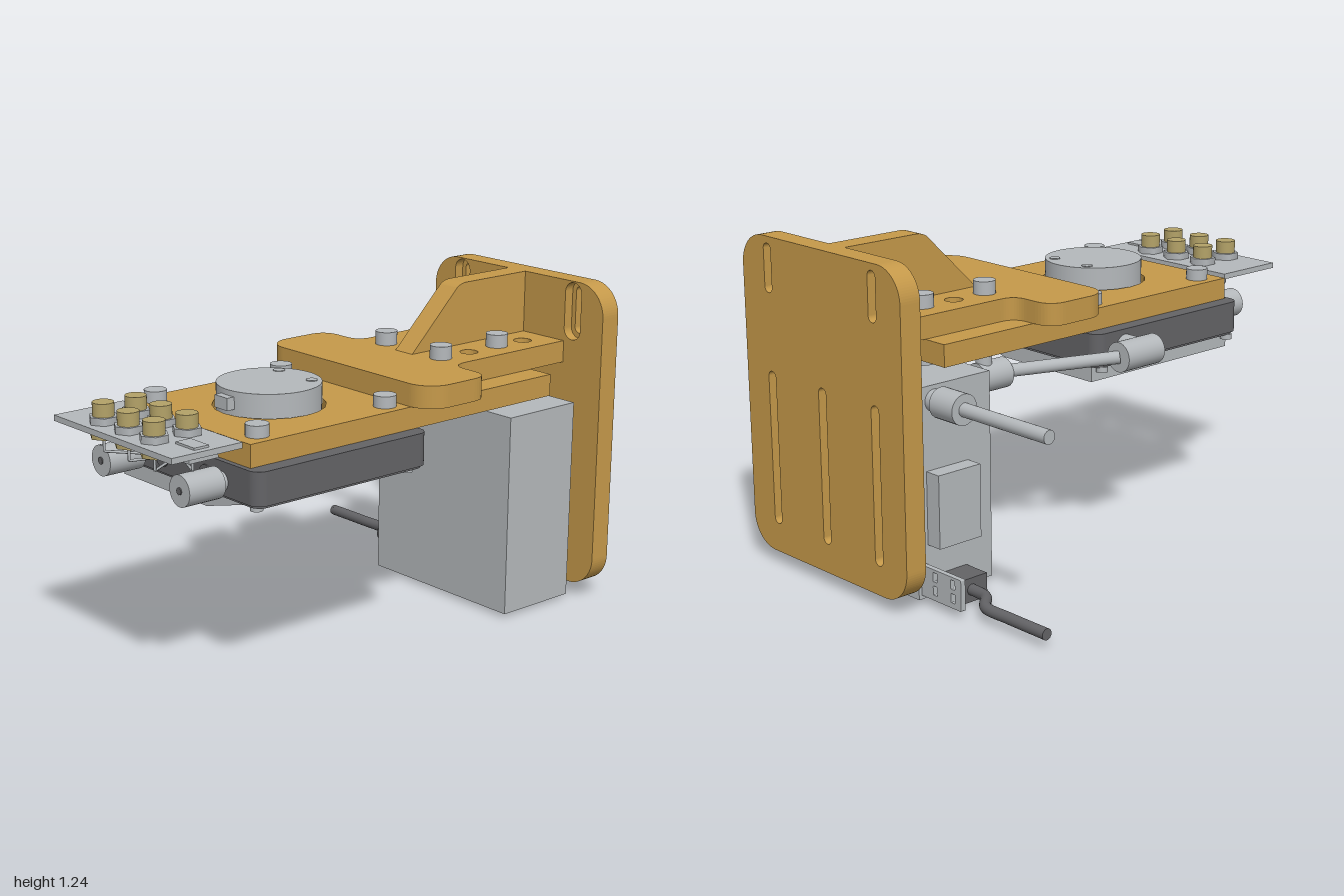
import * as THREE from 'three';

const CX = 0.245; // symmetry line of the bracket

function material(name, color) {
  const m = new THREE.MeshStandardMaterial({ color });
  m.name = name;
  return m;
}

// rounded rectangle, used both as outline and (as a narrow slot) as a hole
function roundRect(x0, y0, x1, y1, r, Type = THREE.Shape) {
  const s = new Type();
  s.moveTo(x0 + r, y0);
  s.lineTo(x1 - r, y0);
  s.absarc(x1 - r, y0 + r, r, -Math.PI / 2, 0);
  s.lineTo(x1, y1 - r);
  s.absarc(x1 - r, y1 - r, r, 0, Math.PI / 2);
  s.lineTo(x0 + r, y1);
  s.absarc(x0 + r, y1 - r, r, Math.PI / 2, Math.PI);
  s.lineTo(x0, y0 + r);
  s.absarc(x0 + r, y0 + r, r, Math.PI, Math.PI * 1.5);
  return s;
}
const slot = (x, y0, y1, r) => roundRect(x - r, y0, x + r, y1, r * 0.999, THREE.Path);
function hole(x, z, r) {
  const p = new THREE.Path();
  p.absarc(x, -z, r, 0, Math.PI * 2);
  return p;
}

export function createModel() {
  const model = new THREE.Group();
  model.name = 'sensorMount';
  const orange = material('orange bracket', 0xc5994a);
  const grey = material('light grey metal', 0xb4b8bb);
  const dark = material('dark grey housing', 0x636366);
  const gold = material('brass', 0xb3a268);
  const green = material('green board', 0x2b6140);

  const add = (name, geo, mat) => {
    const m = new THREE.Mesh(geo, mat);
    m.name = name;
    model.add(m);
    return m;
  };
  // box given by its two corners
  const box = (name, mat, x0, y0, z0, x1, y1, z1) =>
    add(name, new THREE.BoxGeometry(x1 - x0, y1 - y0, z1 - z0)
      .translate((x0 + x1) / 2, (y0 + y1) / 2, (z0 + z1) / 2), mat);
  // cylinder between two points
  const rod = (name, mat, a, b, r, sides = 28) => {
    const p = new THREE.Vector3(...a), q = new THREE.Vector3(...b);
    const m = add(name, new THREE.CylinderGeometry(r, r, p.distanceTo(q), sides), mat);
    m.position.copy(p).add(q).multiplyScalar(0.5);
    m.quaternion.setFromUnitVectors(new THREE.Vector3(0, 1, 0), q.sub(p).normalize());
    return m;
  };
  const extrude = (shape, depth) =>
    new THREE.ExtrudeGeometry(shape, { depth, bevelEnabled: false, curveSegments: 10 });
  // plan outline (x, -z) raised from y0 to y1
  const slab = (name, mat, shape, y0, y1) =>
    add(name, extrude(shape, y1 - y0).rotateX(-Math.PI / 2).translate(0, y0, 0), mat);

  // back plate: two layers so the upper slots are countersunk from the front
  [[-1, -0.955, 0.021, 0.02], [-0.955, -0.915, 0.04, 0]].forEach(([z0, z1, r, inset]) => {
    const s = roundRect(-0.2, 0.05, 0.69, 1.235, 0.12);
    for (const x of [-0.05, 0.54]) s.holes.push(slot(x, 1.01 + inset, 1.23 - inset, r));
    for (const x of [-0.05, CX, 0.54]) s.holes.push(slot(x, 0.16, 0.74, 0.021));
    add('backPlate', extrude(s, z1 - z0).translate(0, 0, z0), orange);
  });

  // upper arm: narrow neck flaring into a wide rounded head
  const boltX = [0.1, 0.395];
  const arm = new THREE.Shape();
  arm.moveTo(-0.01, 0.92);
  arm.lineTo(-0.01, 0.39);
  arm.quadraticCurveTo(-0.01, 0.325, -0.075, 0.325);
  arm.lineTo(-0.12, 0.325);
  arm.quadraticCurveTo(-0.2, 0.325, -0.2, 0.25);
  arm.lineTo(-0.2, 0.13);
  arm.absarc(-0.1, 0.13, 0.1, Math.PI, Math.PI * 1.5);
  arm.lineTo(0.59, 0.03);
  arm.absarc(0.59, 0.13, 0.1, -Math.PI / 2, 0);
  arm.lineTo(0.69, 0.25);
  arm.quadraticCurveTo(0.69, 0.325, 0.61, 0.325);
  arm.lineTo(0.565, 0.325);
  arm.quadraticCurveTo(0.5, 0.325, 0.5, 0.39);
  arm.lineTo(0.5, 0.92);
  for (const x of boltX) for (const z of [-0.8, -0.515]) arm.holes.push(hole(x, z, 0.034));
  slab('upperArm', orange, arm, 0.917, 1.0);

  // gusset between arm and back plate
  const rib = new THREE.Shape();
  rib.moveTo(0.32, 0.995);
  rib.lineTo(0.92, 0.995);
  rib.lineTo(0.92, 1.235);
  rib.lineTo(0.6, 1.235);
  rib.quadraticCurveTo(0.57, 1.235, 0.55, 1.22);
  add('gusset', extrude(rib, 0.09).rotateY(Math.PI / 2).translate(0.2, 0, 0), orange);

  // lower arm with an opening for the round cap
  const lower = new THREE.Shape();
  lower.moveTo(-0.11, -0.69);
  lower.lineTo(0.6, -0.69);
  lower.lineTo(0.6, 0.74);
  lower.lineTo(-0.11, 0.74);
  lower.holes.push(hole(CX, 0.32, 0.202));
  slab('lowerArm', orange, lower, 0.835, 0.917);

  // bolts
  for (const x of boltX) for (const z of [-0.37, -0.66]) {
    rod('armBolt', grey, [x, 1, z], [x, 1.05, z], 0.041);
    rod('armNut', grey, [x, 0.795, z], [x, 0.836, z], 0.041);
  }
  for (const x of [-0.04, 0.53]) for (const z of [0.03, 0.605])
    rod('plateBolt', grey, [x, 0.91, z], [x, 0.96, z], 0.041);

  // round cap with key and two pin sockets
  rod('roundCap', grey, [CX, 0.83, 0.32], [CX, 1.0, 0.32], 0.187, 56);
  box('capKey', grey, 0.21, 0.935, 0.48, 0.28, 0.98, 0.535);
  for (const x of [0.155, 0.335]) rod('capPin', grey, [x, 0.99, 0.2], [x, 1.003, 0.2], 0.021);

  // sensor housing
  slab('sensorHousing', dark, roundRect(-0.17, -0.71, 0.66, 0.065, 0.045), 0.715, 0.835);
  slab('sensorRim', dark, roundRect(-0.16, -0.70, 0.65, 0.055, 0.04), 0.705, 0.716);
  for (const x of [-0.145, 0.6]) for (const z of [-0.015, 0.665])
    rod('housingScrew', grey, [x, 0.685, z], [x, 0.706, z], 0.022, 16);

  // tray under the housing, sloped at one side, recessed in the middle
  const trayPart = (name, pts, z0, z1) => {
    const s = new THREE.Shape(pts.map((p) => new THREE.Vector2(...p)));
    add(name, extrude(s, z1 - z0).translate(0, 0, z0), grey);
  };
  const full = [[-0.12, 0.645], [0.36, 0.645], [0.585, 0.706], [-0.12, 0.706]];
  trayPart('trayBack', full, -0.045, 0.075);
  trayPart('trayFront', full, 0.515, 0.69);
  trayPart('traySide', [[-0.12, 0.645], [-0.02, 0.645], [0.05, 0.69], [0.53, 0.69],
    [0.585, 0.706], [-0.12, 0.706]], 0.075, 0.515);

  // front sockets of the housing
  for (const x of [0.02, 0.47]) {
    rod('frontSocketNeck', grey, [x, 0.765, 0.7], [x, 0.765, 0.74], 0.035);
    rod('frontSocket', grey, [x, 0.765, 0.735], [x, 0.765, 0.885], 0.056);
    rod('socketPin', dark, [x, 0.765, 0.88], [x, 0.765, 0.889], 0.013, 12);
  }
  for (const x of [0.14, 0.385])
    rod('blankSocket', dark, [x, 0.77, 0.7], [x, 0.77, 0.715], 0.033);

  // front connector board
  box('connectorBoard', grey, -0.09, 0.905, 0.71, 0.585, 0.926, 1.0);
  box('boardChip', grey, 0.46, 0.926, 0.83, 0.56, 0.934, 0.89);
  box('boardUnderside', grey, 0.44, 0.887, 0.8, 0.57, 0.906, 0.92);
  for (const x of [0.1, CX, 0.39]) for (const z of [0.79, 0.925]) {
    rod('brassBase', gold, [x, 0.875, z], [x, 0.906, z], 0.05, 6);
    rod('hexNut', grey, [x, 0.925, z], [x, 0.952, z], 0.052, 6);
    rod('brassTerminal', gold, [x, 0.95, z], [x, 1.0, z], 0.038);
    rod('terminalPin', grey, [x, 0.825, z], [x, 0.88, z], 0.005, 8);
    rod('terminalWire', grey, [x, 0.825, z], [CX, 0.805, 0.72], 0.005, 8);
  }
  rod('boardLead', grey, [0.51, 0.84, 0.86], [0.51, 0.89, 0.86], 0.005, 8);
  rod('boardWire', grey, [0.51, 0.84, 0.86], [CX, 0.815, 0.72], 0.005, 8);

  // side plug and cable from the housing to the control box
  rod('sidePlug', grey, [-0.265, 0.77, -0.05], [-0.265, 0.77, 0.135], 0.056);
  rod('sidePlugNeck', grey, [-0.25, 0.77, 0.08], [-0.165, 0.77, 0.08], 0.045);
  rod('linkCable', grey, [-0.265, 0.77, -0.045], [0.0, 0.73, -0.4], 0.024);
  rod('boxPlug', grey, [0.0, 0.725, -0.37], [0.0, 0.725, -0.5], 0.056);
  rod('boxPlugNeck', grey, [0.0, 0.725, -0.49], [0.0, 0.725, -0.54], 0.04);
  rod('boxPlugCap', grey, [0.0, 0.76, -0.465], [0.0, 0.805, -0.465], 0.03);

  // control box with circuit board underneath
  box('controlBox', grey, -0.11, 0.015, -0.875, 0.6, 0.785, -0.535);
  box('circuitBoard', green, 0.0, 0.007, -0.85, 0.575, 0.0155, -0.56);
  box('boardProcessor', grey, 0.2, 0.001, -0.75, 0.28, 0.008, -0.67);
  for (const x of [0.03, 0.545]) for (const z of [-0.82, -0.59])
    rod('boardScrew', grey, [x, 0.001, z], [x, 0.01, z], 0.02, 16);
  box('sideCover', grey, -0.175, 0.21, -0.83, -0.105, 0.48, -0.64);
  for (const x of [-0.02, 0.46]) box('rearPad', grey, x, 0.09, -0.9, x + 0.05, 0.16, -0.87);

  // perforated tab beside the box
  const tab = roundRect(-0.32, 0.03, -0.1, 0.145, 0.004);
  for (const x of [-0.277, -0.183]) for (const y of [0.05, 0.1])
    tab.holes.push(roundRect(x - 0.011, y, x + 0.011, y + 0.034, 0.003, THREE.Path));
  add('sideTab', extrude(tab, 0.02).translate(0, 0, -0.862), grey);

  // upper outgoing cable
  rod('upperPlug', grey, [-0.27, 0.73, -0.79], [-0.15, 0.73, -0.79], 0.056);
  rod('upperPlugNeck', grey, [-0.16, 0.73, -0.79], [-0.1, 0.73, -0.79], 0.04);
  rod('upperCable', grey, [-0.69, 0.73, -0.79], [-0.26, 0.73, -0.79], 0.025);

  // lower outgoing cable with dark plug
  box('lowerPlug', dark, -0.22, 0.0, -0.79, -0.09, 0.09, -0.655);
  const path = new THREE.CatmullRomCurve3([[-0.69, -0.805], [-0.5, -0.805], [-0.38, -0.8],
    [-0.3, -0.735], [-0.2, -0.725]].map(([x, z]) => new THREE.Vector3(x, 0.046, z)));
  add('lowerCable', new THREE.TubeGeometry(path, 40, 0.021, 16), dark);
  rod('lowerCableEnd', dark, [-0.69, 0.046, -0.805], [-0.68, 0.046, -0.805], 0.021, 16);

  return model;
}
